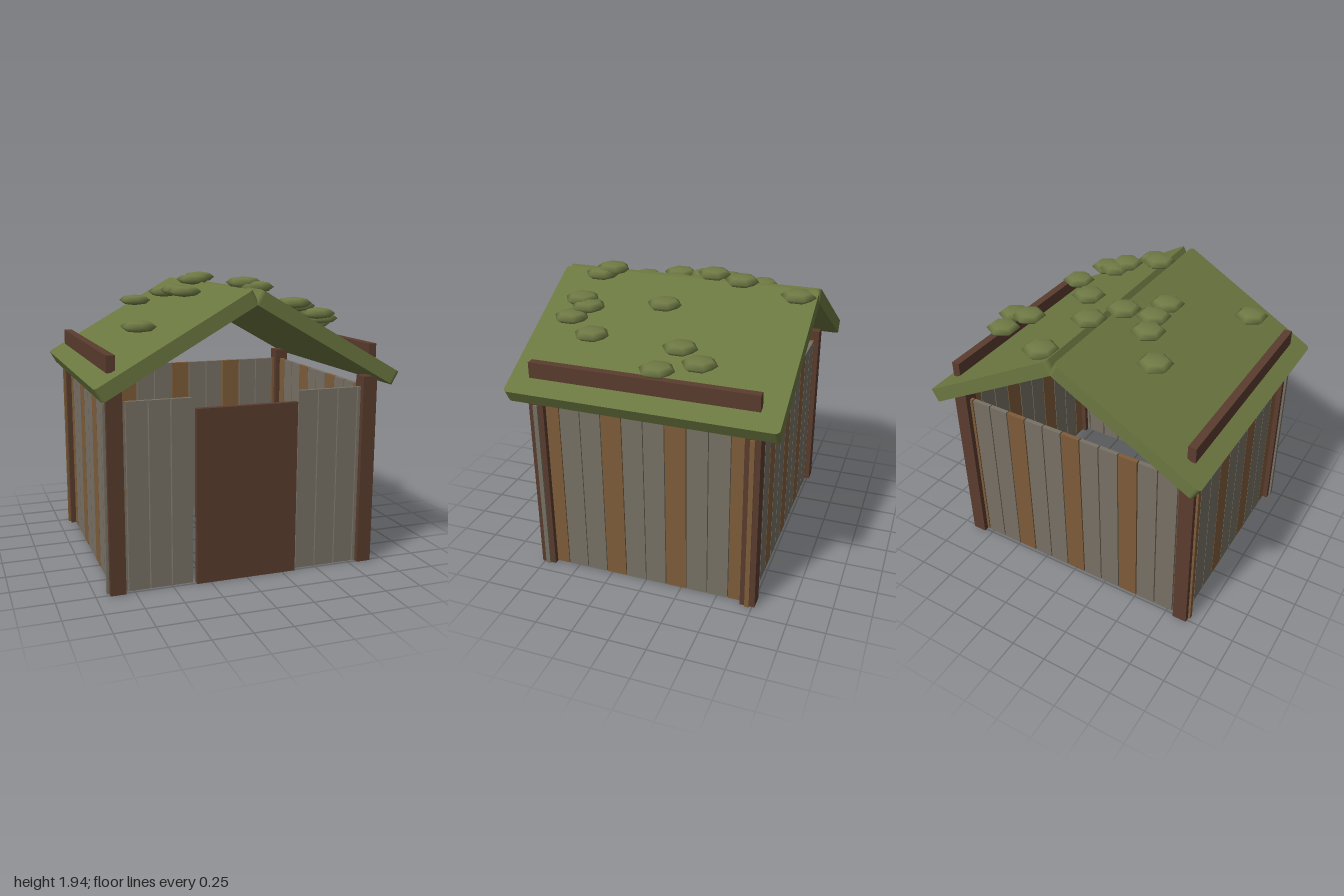
import * as THREE from 'three';

const mat = (name, color) => {
  const m = new THREE.MeshStandardMaterial({ color });
  m.name = name;
  return m;
};

export function createModel() {
  const darkWood = mat('dark wood', 0x5a3c2e);
  const greyWood = mat('weathered grey wood', 0x777064);
  const brownWood = mat('warm brown wood', 0x7e5c39);
  const roofGreen = mat('roof green', 0x6b7740);
  const mossGreen = mat('moss green', 0x6f7a45);

  const model = new THREE.Group();
  model.name = 'shed';
  const add = (name, geometry, material, x, y, z, parent = model) => {
    const mesh = new THREE.Mesh(geometry, material);
    mesh.name = name;
    mesh.position.set(x, y, z);
    parent.add(mesh);
    return mesh;
  };
  const box = (name, w, h, d, material, x, y, z, parent) =>
    add(name, new THREE.BoxGeometry(w, h, d), material, x, y, z, parent);
  const group = (name) => {
    const g = new THREE.Group();
    g.name = name;
    model.add(g);
    return g;
  };

  // Corner posts
  for (const sx of [-1, 1]) for (const sz of [-1, 1])
    box('cornerPost', 0.1, 1.29, 0.1, darkWood, sx * 0.86, 0.645, sz * 0.717);

  // Front and back plank walls; the front leaves a doorway in the middle
  const wallH = 1.215, wallY = 0.0025 + wallH / 2, thick = 0.03;
  const front = group('frontWall'), back = group('backWall');
  for (let k = -6; k <= 6; k++) {
    const x = k * 0.143;
    box('backPlank', 0.135, wallH, thick, k % 3 === 0 ? brownWood : greyWood, x, wallY, -0.717, back);
    if (Math.abs(k) > 2) box('frontPlank', 0.135, wallH, thick, greyWood, x, wallY, 0.717, front);
  }

  // Side plank walls
  for (const sx of [-1, 1]) {
    const side = group(sx > 0 ? 'leftWall' : 'rightWall');
    for (let i = 0; i < 10; i++)
      box('sidePlank', thick, wallH, 0.138, i % 3 === 0 ? brownWood : greyWood,
        sx * 0.86, wallY, (4.5 - i) * 0.1437, side);
  }

  // Door
  box('door', 0.685, 1.15, 0.04, darkWood, 0, 0.575, 0.742);

  // Roof slabs: rounded-corner panels tilted to meet at the ridge
  const L = 1.118 / 2, W = 0.892, r = 0.03, t = 0.094;
  const s = new THREE.Shape();
  s.moveTo(-L + r, -W);
  s.lineTo(L - r, -W);
  s.absarc(L - r, -W + r, r, -Math.PI / 2, 0);
  s.absarc(L - r, W - r, r, 0, Math.PI / 2);
  s.absarc(-L + r, W - r, r, Math.PI / 2, Math.PI);
  s.absarc(-L + r, -W + r, r, Math.PI, Math.PI * 1.5);
  const slab = new THREE.ExtrudeGeometry(s, { depth: t, bevelEnabled: false, curveSegments: 3 });
  slab.translate(0, 0, -t / 2);
  slab.rotateX(-Math.PI / 2);
  for (const sx of [-1, 1]) {
    const panel = add(sx > 0 ? 'leftRoof' : 'rightRoof', slab, roofGreen, sx * 0.491, 1.5625, 0);
    panel.rotation.z = -sx * THREE.MathUtils.degToRad(29.5);
    // Edge beam lying along the eave
    box('eaveBeam', 0.055, 0.105, 1.505, darkWood, sx * 0.873, 1.4525, 0);
  }

  // Moss clumps: flattened six-sided blobs following the roof slope
  const clump = new THREE.SphereGeometry(0.117, 6, 4);
  clump.rotateY(Math.PI / 6);
  clump.scale(1, 0.325, 1);
  const moss = group('moss');
  const spots = [
    [0.14, -0.78], [-0.435, -0.405], [0.05, -0.385], [0.78, -0.34], [-0.27, -0.2], [-0.07, -0.16],
    [0.675, -0.18], [0.865, -0.1], [-0.225, -0.045], [-0.225, 0.14], [0.33, 0.05], [-0.655, 0.57],
    [0.655, 0.42], [0.11, 0.585], [0.05, 0.53], [0.42, 0.55], [0.36, 0.62], [0.53, 0.62],
  ];
  for (const [x, z] of spots)
    add('mossClump', clump, mossGreen, x, 1.925 - 0.42 * Math.abs(x), z, moss);

  return model;
}
